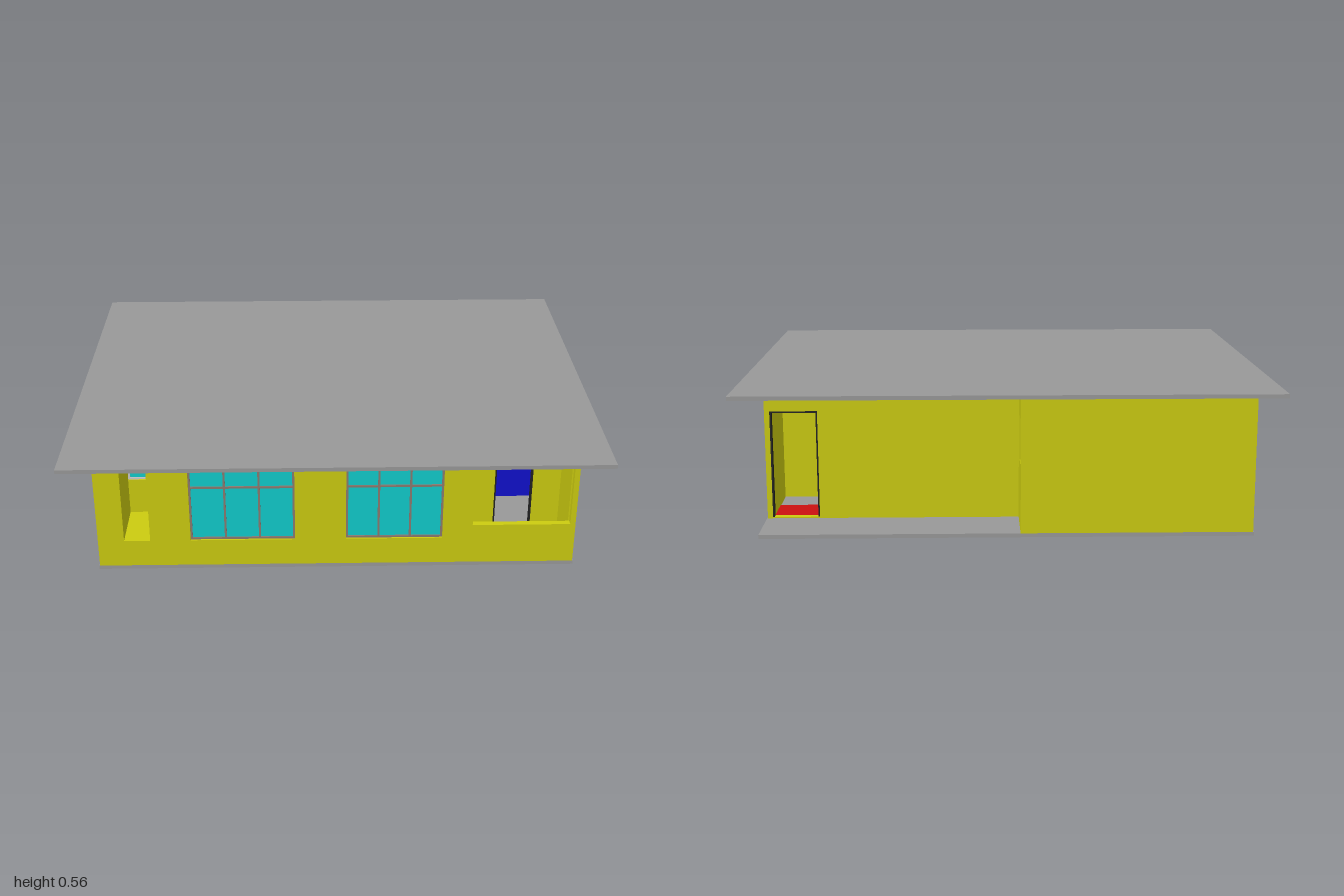
import * as THREE from 'three';

const mat = (color) => new THREE.MeshStandardMaterial({ color });
const GREY = mat(0xcccccc), SLAB = mat(0x999999), WALL = mat(0xcccc10), GLASS = mat(0x10cccc);
const FRAME = mat(0x8c7a70), DARK = mat(0x222222), RED = mat(0xcc1010), BLUE = mat(0x1010cc);
const BASE = 0.015, TOP = 0.54, T = 0.025;

// Box given by its limits
function box(name, x0, x1, y0, y1, z0, z1, material) {
  const mesh = new THREE.Mesh(new THREE.BoxGeometry(x1 - x0, y1 - y0, z1 - z0), material);
  mesh.position.set((x0 + x1) / 2, (y0 + y1) / 2, (z0 + z1) / 2);
  mesh.name = name;
  return mesh;
}

// Upright wall in the xy plane with rectangular openings [x0, x1, y0, y1]
function wall(name, outline, openings, z) {
  const shape = new THREE.Shape(outline.map(([x, y]) => new THREE.Vector2(x, y)));
  for (const [a, b, c, d] of openings) {
    shape.holes.push(new THREE.Path([[a, c], [a, d], [b, d], [b, c]].map(([x, y]) => new THREE.Vector2(x, y))));
  }
  const mesh = new THREE.Mesh(new THREE.ExtrudeGeometry(shape, { depth: T, bevelEnabled: false }), WALL);
  mesh.position.z = z;
  mesh.name = name;
  return mesh;
}
const rect = (x0, x1, y0 = BASE, y1 = TOP) => [[x0, y0], [x1, y0], [x1, y1], [x0, y1]];

// Framed glazing with equal columns and an optional transom bar
function glazing(name, [x0, x1, y0, y1], z, cols = 1, transom = 0, frame = FRAME) {
  const g = new THREE.Group(), f = 0.008, d = 0.007;
  g.name = name;
  g.add(box('pane', x0, x1, y0, y1, z - 0.002, z + 0.002, GLASS));
  for (let i = 0; i <= cols; i++) {
    const x = x0 + f / 2 + (x1 - x0 - f) * i / cols;
    g.add(box('mullion', x - f / 2, x + f / 2, y0, y1, z - d, z + d, frame));
  }
  for (const y of [y0 + f / 2, y1 - f / 2, ...(transom ? [transom] : [])]) {
    g.add(box('rail', x0, x1, y - f / 2, y + f / 2, z - d, z + d, frame));
  }
  return g;
}

// Thin dark door casing around an opening
function doorFrame(name, [x0, x1, y0, y1], z) {
  const g = new THREE.Group(), f = 0.006;
  g.name = name;
  g.add(box('jamb', x0, x0 + f, y0, y1, z, z + T, DARK), box('jamb', x1 - f, x1, y0, y1, z, z + T, DARK));
  g.add(box('head', x0, x1, y1 - f, y1, z, z + T, DARK));
  return g;
}

// Group whose local x runs along world z and local z along world -x
function sideways(name, ...parts) {
  const g = new THREE.Group();
  g.name = name;
  g.rotation.y = -Math.PI / 2;
  g.add(...parts);
  return g;
}

export function createModel() {
  const house = new THREE.Group();
  house.name = 'house';
  const L = -0.91, R = 0.92, F = 0.59, B = -0.71;
  const porchX = 0.525, porchZ = 0.37, backX = -0.045, backZ = -0.49;

  house.add(box('floorSlab', L - 0.003, R + 0.003, 0, BASE, B, F, SLAB));
  house.add(box('roofSlab', -1, 1, TOP, 0.555, -0.81, 0.81, SLAB));

  // Front wall with a notch above the balcony parapet
  const bigWindows = [[-0.555, -0.155, 0.125, 0.44], [0.04, 0.41, 0.125, 0.44]];
  const niche = [-0.81, -0.71, 0.125, 0.44];
  house.add(wall('frontWall', [[L, BASE], [R, BASE], [R, TOP], [0.9, TOP], [0.9, 0.18], [porchX, 0.18],
    [porchX, TOP], [L, TOP]], [...bigWindows, niche], F - T));
  for (const w of bigWindows) house.add(glazing('frontWindow', w, F - 0.014, 3, 0.35));

  // Narrow niche with a small window at its back
  const small = [-0.81, -0.71, 0.27, 0.432];
  house.add(wall('nicheBack', rect(-0.835, -0.685), [small], porchZ - T));
  house.add(glazing('nicheWindow', small, porchZ - 0.012, 1, 0, GREY));
  for (const x of [-0.835, -0.71]) house.add(box('nicheSide', x, x + T, BASE, TOP, porchZ, F - T, WALL));
  house.add(box('nicheSill', -0.81, -0.71, 0.105, 0.125, porchZ, F - T, WALL));
  house.add(box('nicheHead', -0.81, -0.71, 0.44, 0.46, porchZ, F - T, WALL));

  // Front balcony recess and its doorway
  const frontDoor = [0.635, 0.785, 0.03, 0.44];
  house.add(wall('balconyBack', rect(porchX - T, R - T), [frontDoor], porchZ - T));
  house.add(doorFrame('frontDoorFrame', frontDoor, porchZ - T));
  house.add(box('balconySide', porchX - T, porchX, BASE, TOP, porchZ, F - T, WALL));

  // Back walls around the rear porch
  const backDoor = [0.72, 0.9, 0.02, 0.435];
  house.add(wall('backWall', rect(L, backX), [], B));
  house.add(wall('rearPorchWall', rect(backX - T, R), [backDoor], backZ));
  house.add(doorFrame('backDoorFrame', backDoor, backZ));

  // Side walls
  const sideWindow = [-0.59, -0.22, 0.125, 0.44], porchWindow = [-0.67, -0.58, 0.265, 0.435];
  house.add(sideways('leftSide', wall('leftWall', rect(backZ + T, F - T), [], -R)));
  house.add(sideways('rightSide', wall('rightWall', rect(B + T, F - T), [sideWindow], -L - T),
    glazing('sideWindow', sideWindow, -L - 0.014, 3, 0.35)));
  house.add(sideways('rearPorchSide', wall('rearPorchSideWall', rect(B + T, backZ), [porchWindow], -backX),
    glazing('rearPorchWindow', porchWindow, -backX + 0.012, 1, 0, GREY)));

  // Interior glimpsed through the doorways
  house.add(box('partition', L + T, R - T, BASE, TOP, -0.18, -0.16, WALL));
  house.add(box('hallFloor', 0.5, R - T, BASE, 0.02, backZ + T, -0.32, RED));
  house.add(box('hallCeilingFront', 0.3, R - T, 0.532, TOP, -0.28, -0.18, RED));
  house.add(box('hallCeilingBack', 0.3, R - T, 0.532, TOP, backZ + T, -0.28, GLASS));
  house.add(box('cabinet', 0.25, 0.88, BASE, 0.28, -0.02, 0.08, BLUE));
  return house;
}
